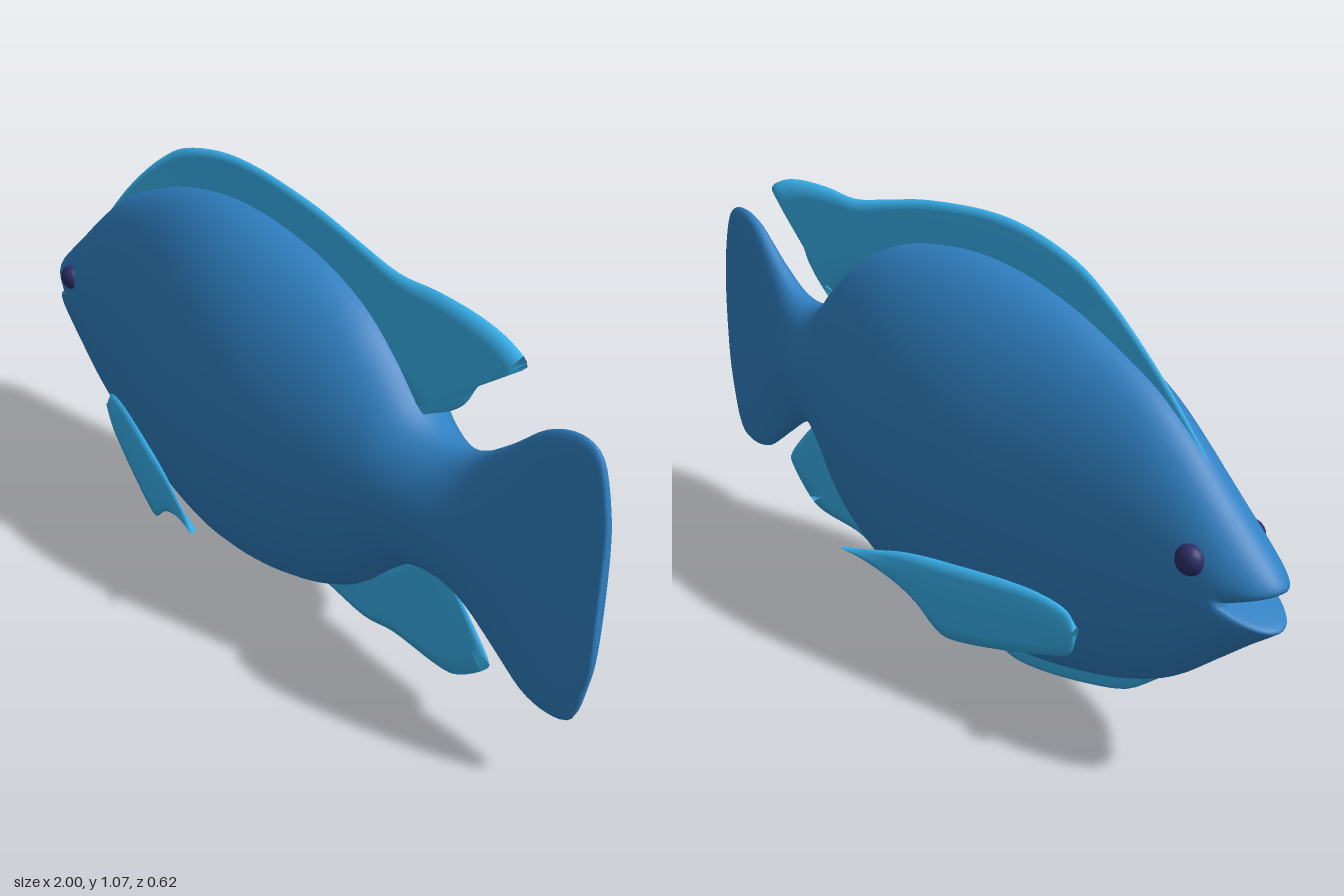
import * as THREE from 'three';

const bodyMat = new THREE.MeshStandardMaterial({ color: 0x2f80c2 });
const finMat = new THREE.MeshStandardMaterial({ color: 0x38b2ee, side: THREE.DoubleSide });
const eyeMat = new THREE.MeshStandardMaterial({ color: 0x2c2c66 });

// Smoothly interpolates between rows of numbers (Catmull-Rom)
function smoothRows(rows, steps) {
  const out = [];
  const last = rows.length - 1;
  for (let i = 0; i < last; i++) {
    const [p, a, b, q] = [rows[Math.max(i - 1, 0)], rows[i], rows[i + 1], rows[Math.min(i + 2, last)]];
    for (let s = 0; s < steps; s++) {
      const t = s / steps;
      out.push(a.map((v, k) => {
        const c1 = b[k] - p[k];
        const c2 = 2 * p[k] - 5 * v + 4 * b[k] - q[k];
        const c3 = 3 * (v - b[k]) + q[k] - p[k];
        return v + 0.5 * t * (c1 + t * (c2 + t * c3));
      }));
    }
  }
  out.push(rows[last]);
  return out;
}

// Skins a series of closed rings
function loft(rings, flip = false) {
  const n = rings[0].length;
  const index = [];
  for (let i = 0; i < rings.length - 1; i++) {
    for (let j = 0; j < n; j++) {
      const a = i * n + j, b = i * n + (j + 1) % n;
      if (flip) index.push(a, b, a + n, b, b + n, a + n);
      else index.push(a, a + n, b, b, a + n, b + n);
    }
  }
  const geo = new THREE.BufferGeometry();
  geo.setAttribute('position', new THREE.Float32BufferAttribute(rings.flat(2), 3));
  geo.setIndex(index);
  geo.computeVertexNormals();
  return geo;
}

function addMesh(group, name, geo, mat) {
  const mesh = new THREE.Mesh(geo, mat);
  mesh.name = name;
  group.add(mesh);
  return mesh;
}

// Thin fin from ribs [xRoot, yRoot, xEdge, yEdge]; thickness(v) is the half
// thickness along a rib, sheet(x) the z of its middle surface
function fin(ribs, thickness, sheet = () => 0, flip = false) {
  const m = 6;
  const rings = smoothRows(ribs, 4).map(([x0, y0, x1, y1]) => {
    const ring = [];
    for (let k = 0; k < 2 * m; k++) {
      const v = k <= m ? k / m : 2 - k / m;
      const x = x0 + (x1 - x0) * v;
      ring.push([x, y0 + (y1 - y0) * v, sheet(x) + thickness(v) * (k <= m ? 1 : -1)]);
    }
    return ring;
  });
  return loft(rings, flip);
}

export function createModel() {
  const fish = new THREE.Group();
  fish.name = 'fish';

  // Body sections: x, x at the sides, top, bottom, half width.
  // The first ones fold inwards to form the open mouth.
  const sections = smoothRows([
    [-0.9, -0.9, 0.47, 0.47, 0],
    [-0.95, -0.9, 0.488, 0.452, 0.035],
    [-1, -0.9, 0.51, 0.43, 0.065],
    [-0.985, -0.895, 0.54, 0.41, 0.08],
    [-0.93, -0.88, 0.59, 0.365, 0.09],
    [-0.85, -0.85, 0.66, 0.295, 0.097],
    [-0.75, -0.75, 0.75, 0.21, 0.115],
    [-0.65, -0.65, 0.825, 0.155, 0.135],
    [-0.53, -0.53, 0.885, 0.11, 0.162],
    [-0.4, -0.4, 0.935, 0.08, 0.19],
    [-0.25, -0.25, 0.97, 0.06, 0.222],
    [-0.1, -0.1, 0.98, 0.055, 0.24],
    [0.05, 0.05, 0.965, 0.075, 0.237],
    [0.18, 0.18, 0.935, 0.11, 0.213],
    [0.3, 0.3, 0.88, 0.17, 0.18],
    [0.4, 0.4, 0.8, 0.265, 0.146],
    [0.48, 0.48, 0.72, 0.332, 0.12],
    [0.56, 0.56, 0.687, 0.35, 0.095],
    [0.64, 0.64, 0.698, 0.33, 0.07],
    [0.73, 0.73, 0.76, 0.265, 0.048],
    [0.82, 0.82, 0.838, 0.2, 0.032],
    [0.9, 0.9, 0.868, 0.187, 0.022],
    [0.96, 0.96, 0.845, 0.215, 0.017],
    [0.99, 0.99, 0.75, 0.32, 0.014],
    [1, 1, 0.66, 0.4, 0.01],
    [1, 1, 0.53, 0.53, 0],
  ], 4);
  const rings = sections.map(([x, xSide, top, bottom, w]) => {
    const ring = [];
    // Towards the tail the section turns from an ellipse into a flat blade
    const blade = 1 - 0.4 * THREE.MathUtils.smoothstep(x, 0.55, 0.9);
    for (let j = 0; j < 40; j++) {
      const a = (j / 40) * Math.PI * 2;
      const s = Math.sin(a), c = Math.cos(a);
      ring.push([
        xSide + (x - xSide) * Math.abs(s),
        (top + bottom) / 2 + s * (top - bottom) / 2,
        w * Math.sign(c) * Math.pow(Math.abs(c), blade),
      ]);
    }
    return ring;
  });
  addMesh(fish, 'body', loft(rings), bodyMat);

  // Fins along the middle line, thick at the root and sharp at the edge
  const taper = (v) => 0.012 * (1 - v) + 0.001;
  addMesh(fish, 'dorsalFin', fin([
    [-0.81, 0.66, -0.81, 0.695],
    [-0.68, 0.75, -0.7, 0.81],
    [-0.55, 0.83, -0.6, 0.9],
    [-0.45, 0.88, -0.5, 0.975],
    [-0.35, 0.91, -0.4, 1.03],
    [-0.2, 0.94, -0.25, 1.068],
    [-0.05, 0.94, -0.1, 1.075],
    [0.1, 0.91, 0.1, 1.055],
    [0.2, 0.88, 0.25, 1.025],
    [0.3, 0.82, 0.38, 1],
    [0.37, 0.77, 0.5, 1.005],
    [0.42, 0.74, 0.62, 1],
    [0.45, 0.72, 0.71, 0.98],
    [0.46, 0.72, 0.755, 0.945],
    [0.465, 0.72, 0.676, 0.893],
    [0.47, 0.72, 0.63, 0.848],
    [0.47, 0.715, 0.595, 0.79],
    [0.47, 0.71, 0.54, 0.745],
    [0.47, 0.7, 0.48, 0.725],
  ], taper), finMat);

  addMesh(fish, 'analFin', fin([
    [0.04, 0.11, 0.02, 0.07],
    [0.12, 0.14, 0.14, 0.085],
    [0.2, 0.17, 0.3, 0.07],
    [0.28, 0.21, 0.41, 0.09],
    [0.34, 0.26, 0.56, 0.09],
    [0.37, 0.29, 0.63, 0.11],
    [0.41, 0.32, 0.712, 0.18],
    [0.42, 0.33, 0.712, 0.215],
    [0.45, 0.34, 0.65, 0.285],
    [0.47, 0.35, 0.6, 0.33],
    [0.49, 0.36, 0.55, 0.35],
  ], taper, undefined, true), finMat);

  addMesh(fish, 'bellyFin', fin([
    [-0.69, 0.21, -0.69, 0.17],
    [-0.6, 0.17, -0.6, 0.1],
    [-0.48, 0.13, -0.48, 0.055],
    [-0.35, 0.1, -0.35, 0.02],
    [-0.25, 0.09, -0.25, 0.003],
    [-0.19, 0.09, -0.19, 0.008],
    [-0.15, 0.09, -0.15, 0.027],
    [-0.07, 0.09, -0.07, 0.037],
    [0.01, 0.1, 0.01, 0.062],
    [0.12, 0.12, 0.12, 0.087],
  ], taper, undefined, true), finMat);

  // Side fins and eyes, mirrored
  const pectoralRibs = [
    [-0.585, 0.28, -0.585, 0.3],
    [-0.575, 0.235, -0.56, 0.335],
    [-0.53, 0.213, -0.49, 0.353],
    [-0.4, 0.178, -0.39, 0.355],
    [-0.27, 0.155, -0.27, 0.348],
    [-0.22, 0.17, -0.2, 0.343],
    [-0.17, 0.215, -0.13, 0.333],
    [-0.11, 0.248, -0.06, 0.315],
    [-0.02, 0.277, 0, 0.3],
    [0.037, 0.289, 0.037, 0.292],
  ];
  for (const [side, sign] of [['left', 1], ['right', -1]]) {
    addMesh(fish, side + 'PectoralFin', fin(
      pectoralRibs,
      (v) => 0.009 * Math.sin(Math.PI * v),
      (x) => sign * (0.3 + 0.25 * (x - 0.035)),
    ), finMat);

    const eye = addMesh(fish, side + 'Eye', new THREE.SphereGeometry(0.033, 24, 16), eyeMat);
    eye.position.set(-0.838, 0.547, sign * 0.088);
    eye.scale.z = 0.85;
  }

  return fish;
}
